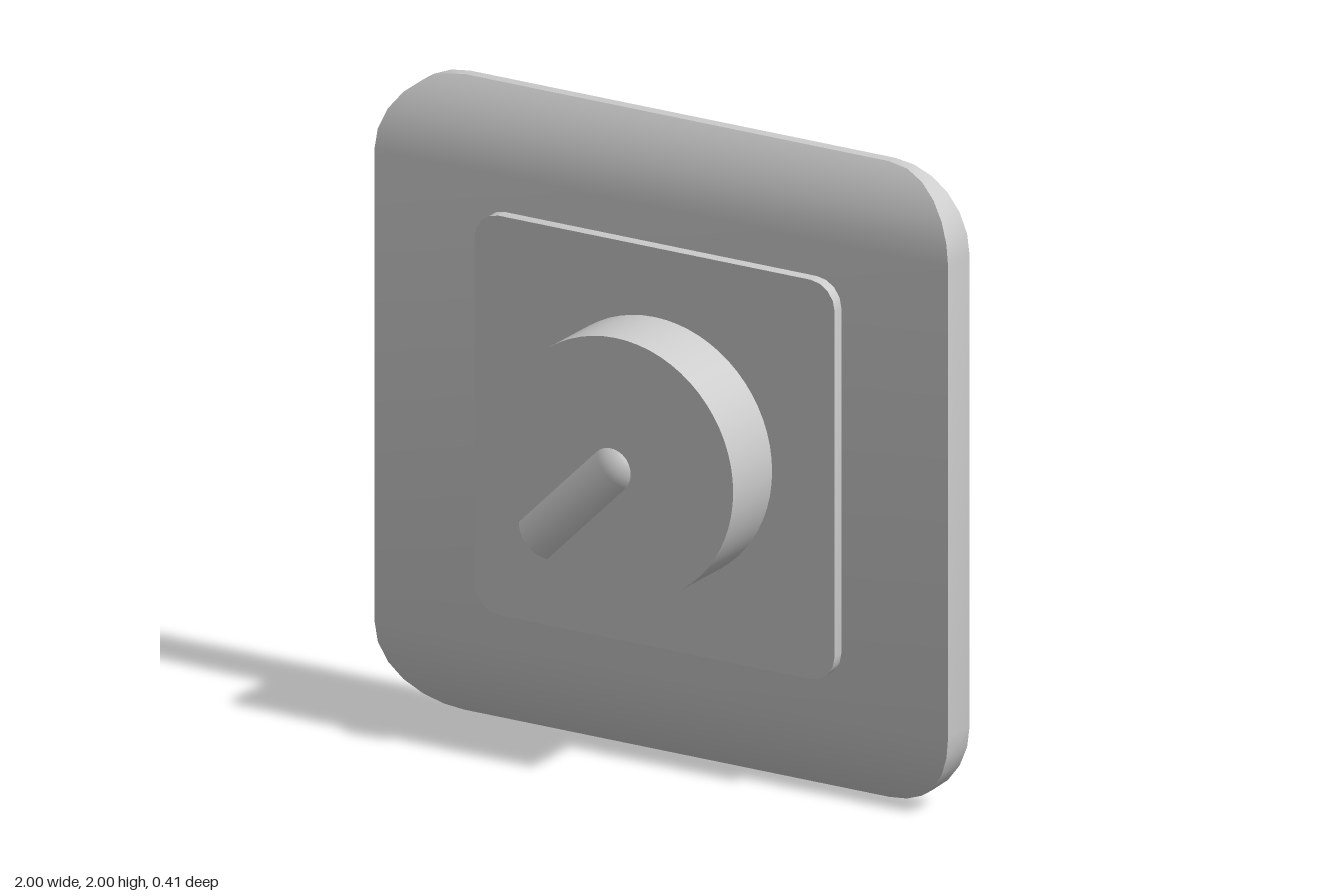
import * as THREE from 'three';
import { toCreasedNormals } from 'three/addons/utils/BufferGeometryUtils.js';

const MID = 1; // height of the centre
const KNOB_R = 0.41;
const material = new THREE.MeshStandardMaterial({ color: 0xcccccc });

function addPart(group, name, geometry) {
  const mesh = new THREE.Mesh(geometry, material);
  mesh.name = name;
  group.add(mesh);
}

// Wall plate: rounded corners, front curving back towards the top and bottom edges
function plateGeometry() {
  const corner = 0.26, back = -0.205, front = -0.083, drop = 0.087, steps = 6;
  const bend = (corner * corner + drop * drop) / (2 * drop);
  const half = [];
  for (let i = 0; i <= steps; i++) {
    const a = (i / steps) * Math.PI / 2;
    const rise = corner * Math.sin(a);
    half.push({
      y: 1 - corner + rise,
      w: 1 - corner + corner * Math.cos(a),
      z: front - bend + Math.sqrt(bend * bend - rise * rise),
    });
  }
  const rows = [...half.map((r) => ({ ...r, y: -r.y })).reverse(), ...half];

  const positions = [], index = [];
  for (const { y, w, z } of rows) {
    positions.push(-w, MID + y, z, w, MID + y, z, w, MID + y, back, -w, MID + y, back);
  }
  for (let r = 0; r < rows.length - 1; r++) {
    for (let k = 0; k < 4; k++) {
      const a = r * 4 + k, b = r * 4 + (k + 1) % 4;
      index.push(a, b, b + 4, a, b + 4, a + 4);
    }
  }
  const t = (rows.length - 1) * 4;
  index.push(0, 2, 1, 0, 3, 2, t, t + 1, t + 2, t, t + 2, t + 3);

  const geometry = new THREE.BufferGeometry();
  geometry.setAttribute('position', new THREE.Float32BufferAttribute(positions, 3));
  geometry.setIndex(index);
  return toCreasedNormals(geometry, 0.6);
}

// Raised square with small rounded corners
function insertGeometry() {
  const h = 0.628, r = 0.085, c = h - r;
  const shape = new THREE.Shape();
  [[1, 1], [-1, 1], [-1, -1], [1, -1]].forEach(([sx, sy], i) => {
    shape.absarc(sx * c, sy * c, r, i * Math.PI / 2, (i + 1) * Math.PI / 2);
  });
  shape.closePath();
  const geometry = new THREE.ExtrudeGeometry(shape, { depth: 0.06, bevelEnabled: false, curveSegments: 2 });
  geometry.translate(0, MID, -0.105);
  return toCreasedNormals(geometry, 0.9);
}

// Half-sunk diagonal ridge, its lower end trimmed flush with the knob wall
function pointerGeometry() {
  const radius = 0.097, length = 0.6, limit = KNOB_R - 0.002, s = Math.SQRT1_2;
  const geometry = new THREE.CapsuleGeometry(radius, length, 10, 40, 1);
  geometry.translate(0, -length / 2, 0).rotateZ(-Math.PI / 4).translate(-0.017, -0.01, 0.108);
  const p = geometry.attributes.position;
  for (let i = 0; i < p.count; i++) {
    const x = p.getX(i), y = p.getY(i);
    if (Math.hypot(x, y) <= limit) continue;
    const across = (x - y) * s;
    const along = Math.sqrt(limit * limit - across * across);
    p.setXY(i, (across - along) * s, (-across - along) * s);
  }
  geometry.translate(0, MID, 0);
  return toCreasedNormals(geometry, 0.7);
}

export function createModel() {
  const model = new THREE.Group();
  model.name = 'rotaryWallSwitch';

  addPart(model, 'wallPlate', plateGeometry());
  addPart(model, 'insertPlate', insertGeometry());

  const knob = new THREE.CylinderGeometry(KNOB_R, KNOB_R, 0.235, 64);
  knob.rotateX(Math.PI / 2).translate(0, MID, 0.0575);
  addPart(model, 'knob', knob);

  addPart(model, 'knobPointer', pointerGeometry());
  return model;
}
